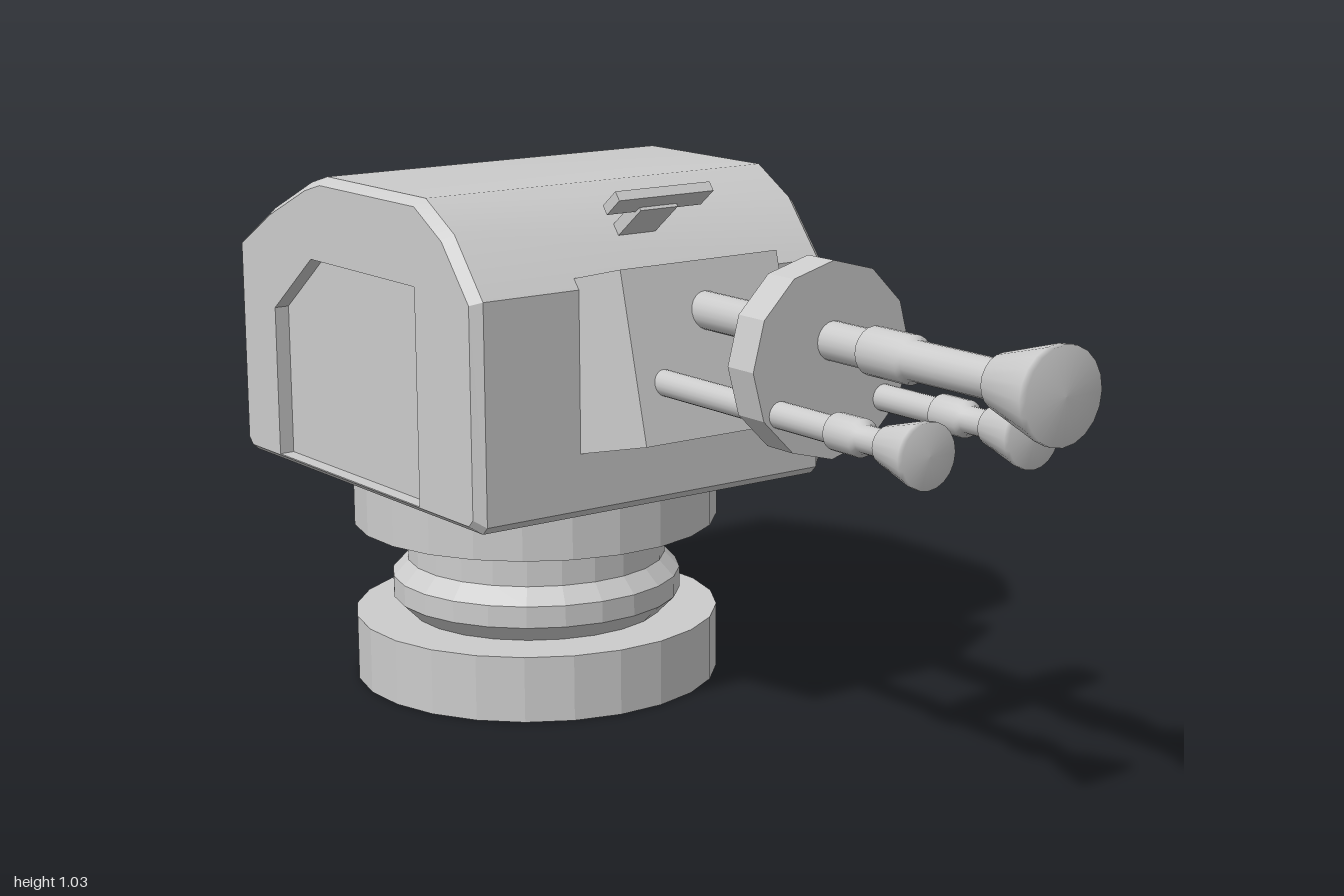
import * as THREE from 'three';
import { toCreasedNormals } from 'three/addons/utils/BufferGeometryUtils.js';

const smooth = new THREE.MeshStandardMaterial({ color: 0xcccccc });
const flat = new THREE.MeshStandardMaterial({ color: 0xcccccc, flatShading: true });

function add(parent, name, geometry, material = smooth) {
  const mesh = new THREE.Mesh(geometry, material);
  mesh.name = name;
  parent.add(mesh);
  return mesh;
}

const points = (list) => list.map(([x, y]) => new THREE.Vector2(x, y));

function slab(shape, depth, z) {
  const geometry = new THREE.ExtrudeGeometry(shape, { depth, bevelEnabled: false });
  return geometry.translate(0, 0, z);
}

// Skin joining equal outlines (counter-clockwise from +z) placed along z
function loft(sections) {
  const pos = [];
  for (let k = 0; k < sections.length - 1; k++) {
    const [p, q] = [sections[k], sections[k + 1]];
    const n = p.outline.length;
    for (let i = 0; i < n; i++) {
      const j = (i + 1) % n;
      const a = [...p.outline[i], p.z], b = [...p.outline[j], p.z];
      const c = [...q.outline[j], q.z], d = [...q.outline[i], q.z];
      pos.push(...a, ...b, ...c, ...a, ...c, ...d);
    }
  }
  const geometry = new THREE.BufferGeometry();
  geometry.setAttribute('position', new THREE.Float32BufferAttribute(pos, 3));
  return toCreasedNormals(geometry, 0.5);
}

// Barrel along +x; the profile is [distance, radius]
function barrel(profile) {
  const geometry = new THREE.LatheGeometry(points(profile.map(([d, r]) => [r, d])), 20);
  return geometry.rotateZ(-Math.PI / 2);
}

export function createModel() {
  const model = new THREE.Group();
  model.name = 'turret';

  // Round pedestal with a bulging neck
  const pedestal = add(model, 'pedestal', new THREE.LatheGeometry(points([
    [0, 0], [0.365, 0], [0.365, 0.13], [0.255, 0.13], [0.29, 0.165], [0.29, 0.208],
    [0.26, 0.24], [0.26, 0.32], [0.365, 0.32], [0.365, 0.43], [0, 0.43],
  ]), 24), flat);
  pedestal.position.x = -0.5;

  // Everything above the pedestal is turned slightly
  const head = new THREE.Group();
  head.name = 'head';
  head.position.x = -0.5;
  head.rotation.y = -0.127;
  model.add(head);

  // Housing with chamfered sides
  const outline = [
    [-0.44, 0.425], [0.405, 0.425], [0.42, 0.44], [0.42, 0.855], [0.33, 0.965], [0.235, 1.02],
    [-0.12, 1.02], [-0.18, 1.003], [-0.33, 0.935], [-0.455, 0.86], [-0.455, 0.44],
  ];
  const inset = outline.map(([x, y]) => [-0.0175 + (x + 0.0175) * 0.962, 0.72 + (y - 0.72) * 0.95]);
  add(head, 'housing', loft([
    { outline: inset, z: -0.405 }, { outline, z: -0.385 },
    { outline, z: 0.385 }, { outline: inset, z: 0.405 },
  ]));

  // Side walls, each with a sunken panel
  const panel = [[-0.31, 0.442], [0.22, 0.442], [0.22, 0.857], [-0.16, 0.857], [-0.31, 0.74]];
  const wall = new THREE.Shape(points(inset));
  wall.holes.push(new THREE.Path(points(panel)));
  for (const side of [-1, 1]) {
    add(head, 'sideWall', slab(wall, 0.03, side * 0.39 - 0.015));
    add(head, 'sidePanel', slab(new THREE.Shape(points(panel)), 0.01, side * 0.37 - 0.005));
  }

  // Tilted gun mount
  const mount = new THREE.Group();
  mount.name = 'gunMount';
  mount.position.set(0.588, 0.755, 0);
  mount.rotation.z = 0.244;
  head.add(mount);
  add(mount, 'mountBlock', new THREE.BoxGeometry(0.3, 0.32, 0.356)).position.x = -0.15;

  // Plate that braces the barrels
  const brace = new THREE.CylinderGeometry(0.175, 0.175, 0.07, 12).rotateZ(Math.PI / 2);
  add(head, 'barrelBrace', brace, flat).position.set(0.893, 0.785, 0);

  // Main barrel and two smaller ones, with sleeves and flared muzzles
  add(head, 'mainBarrel', barrel([
    [0.45, 0], [0.45, 0.035], [1.03, 0.035], [1.035, 0.043], [1.135, 0.043], [1.14, 0.035],
    [1.35, 0.035], [1.35, 0.048], [1.475, 0.083], [1.49, 0.083], [1.495, 0],
  ])).position.y = 0.82;
  for (const side of [-1, 1]) {
    add(head, 'sideBarrel', barrel([
      [0.45, 0], [0.45, 0.024], [1.075, 0.024], [1.08, 0.033], [1.145, 0.033], [1.15, 0.024],
      [1.205, 0.024], [1.205, 0.033], [1.295, 0.057], [1.307, 0.057], [1.31, 0],
    ])).position.set(0, 0.705, side * 0.116);
  }

  // T-shaped sight rising from the front of the roof
  const sight = new THREE.Group();
  sight.name = 'sight';
  sight.position.set(0.424, 1.008, 0);
  sight.rotation.z = 0.66;
  head.add(sight);
  add(sight, 'sightBar', new THREE.BoxGeometry(0.05, 0.02, 0.215));
  add(sight, 'sightStem', new THREE.BoxGeometry(0.14, 0.025, 0.085)).position.set(-0.08, -0.004, 0);

  return model;
}
